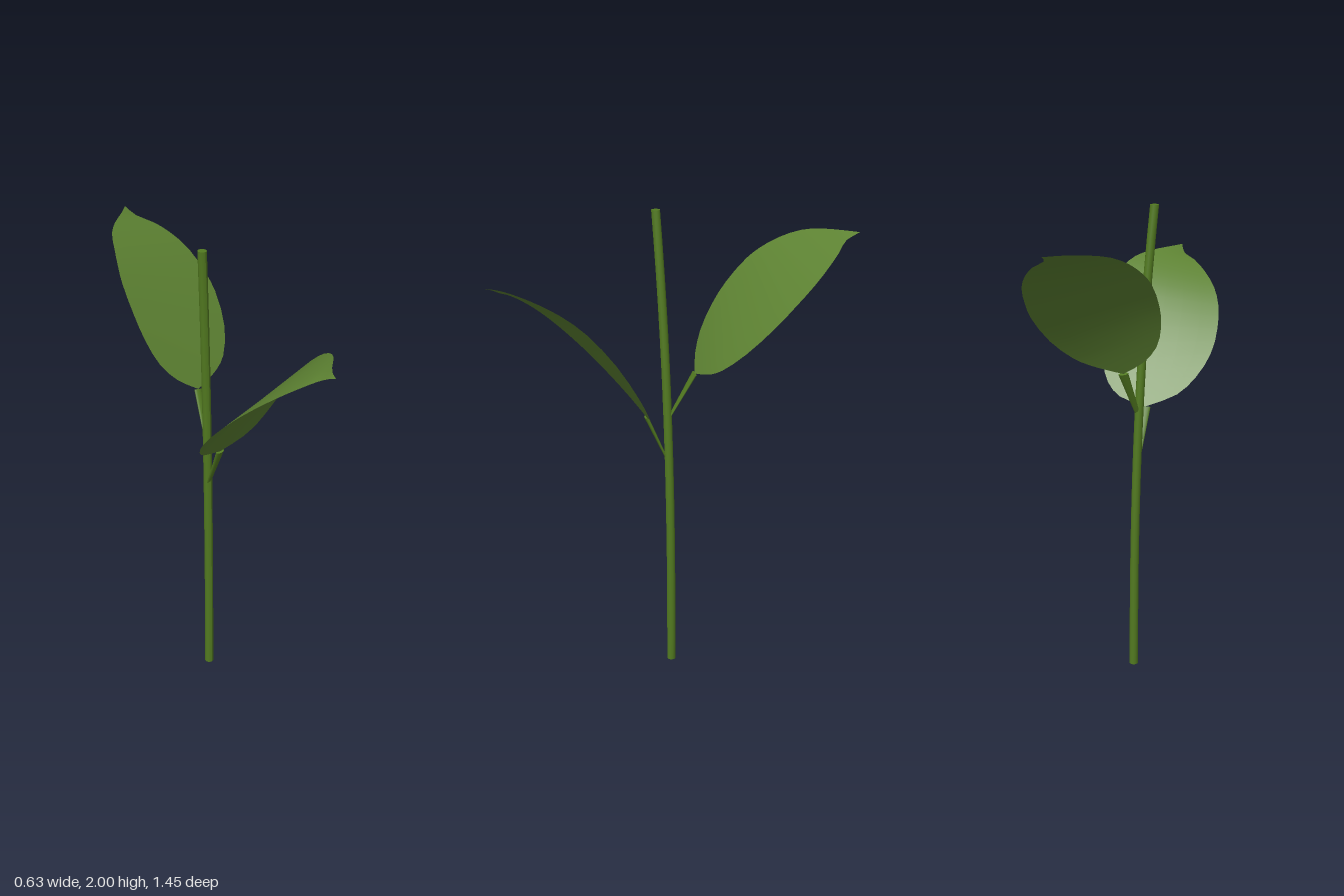
import * as THREE from 'three';

const stemGreen = new THREE.MeshStandardMaterial({ color: 0x527a20 });
stemGreen.name = 'stem green';
const leafGreen = new THREE.MeshStandardMaterial({ color: 0x5d8232, side: THREE.DoubleSide });
leafGreen.name = 'leaf green';

// Round stem that leans gently towards its top
function makeStem() {
  const geo = new THREE.CylinderGeometry(0.018, 0.019, 2, 12, 16).translate(0, 1, 0);
  const p = geo.attributes.position;
  for (let i = 0; i < p.count; i++) {
    const bend = Math.pow(Math.max(p.getY(i), 0) / 2, 2.5);
    p.setX(i, p.getX(i) - 0.026 - 0.071 * bend);
    p.setZ(i, p.getZ(i) - 0.01 + 0.045 * bend);
  }
  geo.computeVertexNormals();
  const mesh = new THREE.Mesh(geo, stemGreen);
  mesh.name = 'stem';
  return mesh;
}

// Flattened stalk that widens towards the leaf
function makeStalk(name, from, to) {
  const a = new THREE.Vector3(...from), b = new THREE.Vector3(...to);
  const dir = b.clone().sub(a);
  const geo = new THREE.CylinderGeometry(0.021, 0.01, dir.length(), 10).scale(1, 1, 0.4);
  const mesh = new THREE.Mesh(geo, stemGreen);
  mesh.position.copy(a).add(b).multiplyScalar(0.5);
  mesh.quaternion.setFromUnitVectors(new THREE.Vector3(0, 1, 0), dir.normalize());
  mesh.name = name;
  return mesh;
}

// Leaf blade: rows spanned between a low and a high margin, each [x, z] in plan.
// Each margin rises from base to tip along its own arch, which rolls the blade.
function makeLeaf(name, base, tip, low, high) {
  const across = 6;
  const rise = (z, power) => {
    const t = THREE.MathUtils.clamp((z - base[2]) / (tip[2] - base[2]), 0, 1);
    return base[1] + (tip[1] - base[1]) * (1 - Math.pow(1 - t, power));
  };
  const edge = (pts, power) => new THREE.CatmullRomCurve3([
    new THREE.Vector3(...base),
    ...pts.map(([x, z]) => new THREE.Vector3(x, rise(z, power), z)),
    new THREE.Vector3(...tip),
  ]);
  const lowEdge = edge(low, 1.32), highEdge = edge(high, 2.4);
  const rows = 2 * (low.length + 1);
  const pos = [], index = [];
  for (let i = 0; i <= rows; i++) {
    const l = lowEdge.getPoint(i / rows), h = highEdge.getPoint(i / rows);
    for (let j = 0; j <= across; j++) {
      const v = l.clone().lerp(h, j / across);
      pos.push(v.x, v.y, v.z);
      if (i < rows && j < across) {
        const a = i * (across + 1) + j, b = a + across + 1;
        index.push(a, b, a + 1, b, b + 1, a + 1);
      }
    }
  }
  const geo = new THREE.BufferGeometry();
  geo.setAttribute('position', new THREE.Float32BufferAttribute(pos, 3));
  geo.setIndex(index);
  geo.computeVertexNormals();
  const mesh = new THREE.Mesh(geo, leafGreen);
  mesh.name = name;
  return mesh;
}

export function createModel() {
  const group = new THREE.Group();
  group.name = 'plant sprig';
  const frontBase = [-0.055, 1.155, 0.09], backBase = [0, 1.345, -0.1];
  group.add(
    makeStem(),
    makeStalk('frontStalk', [-0.04, 0.95, 0], frontBase),
    makeStalk('backStalk', [-0.04, 1.15, -0.005], backBase),
    makeLeaf('frontLeaf', frontBase, [-0.097, 1.73, 0.72],
      [[-0.18, 0.13], [-0.25, 0.185], [-0.3, 0.26], [-0.315, 0.345], [-0.305, 0.43], [-0.275, 0.5],
        [-0.225, 0.565], [-0.17, 0.62], [-0.12, 0.655], [-0.105, 0.69]],
      [[0.06, 0.105], [0.115, 0.13], [0.145, 0.17], [0.162, 0.26], [0.15, 0.37], [0.127, 0.46],
        [0.08, 0.54], [0.02, 0.6], [-0.035, 0.645], [-0.075, 0.685]]),
    makeLeaf('backLeaf', backBase, [0.15, 1.92, -0.725],
      [[0.06, -0.112], [0.13, -0.13], [0.19, -0.157], [0.265, -0.23], [0.308, -0.335], [0.31, -0.4],
        [0.296, -0.488], [0.26, -0.558], [0.215, -0.615], [0.16, -0.665]],
      [[-0.085, -0.127], [-0.145, -0.165], [-0.173, -0.22], [-0.177, -0.28], [-0.162, -0.365], [-0.14, -0.415],
        [-0.104, -0.48], [-0.054, -0.558], [0.008, -0.615], [0.085, -0.67]]),
  );
  return group;
}
